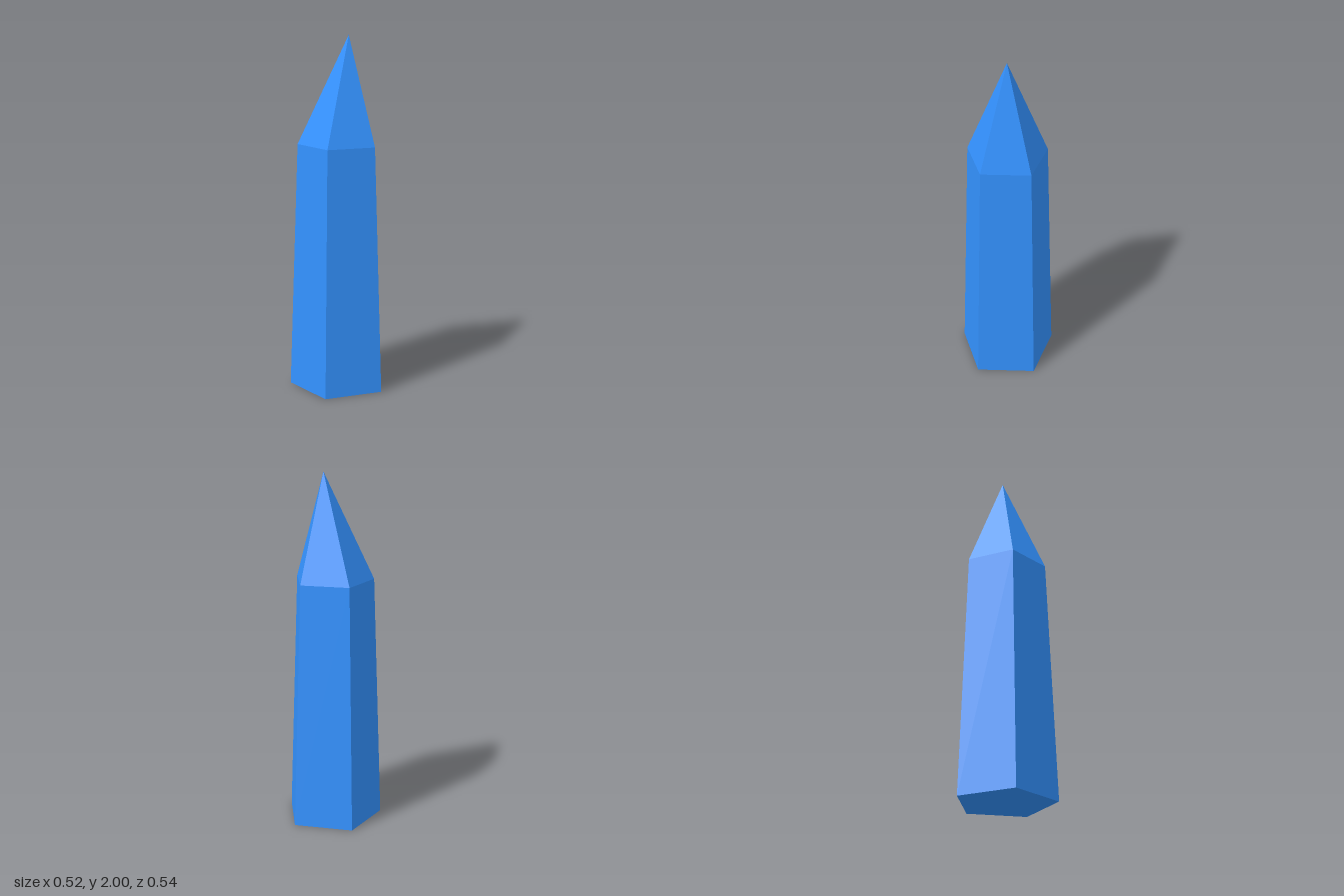
import * as THREE from 'three';

const SIDES = 5;
const CENTRE_X = -0.028;
const BASE_R = 0.285, SHOULDER_R = 0.2335;
const SHOULDER_Y = 1.4, TOP_Y = 2;
const APEX = { x: 0.014, z: 0.028 };

export function createModel() {
  const group = new THREE.Group();
  group.name = 'crystal';
  const material = new THREE.MeshStandardMaterial({ color: 0x3392ff, flatShading: true });

  const add = (name, geometry) => {
    const mesh = new THREE.Mesh(geometry, material);
    mesh.name = name;
    group.add(mesh);
  };

  // Tapered five-sided shaft, with one corner pointing to +x
  const shaft = new THREE.CylinderGeometry(
    SHOULDER_R, BASE_R, SHOULDER_Y, SIDES, 1, true, Math.PI / 2);
  shaft.translate(CENTRE_X, SHOULDER_Y / 2, 0);
  add('shaft', shaft);

  // Pointed tip, its apex pushed off centre
  const tipHeight = TOP_Y - SHOULDER_Y;
  const tip = new THREE.ConeGeometry(SHOULDER_R, tipHeight, SIDES, 1, true, Math.PI / 2);
  tip.translate(CENTRE_X, SHOULDER_Y + tipHeight / 2, 0);
  const pos = tip.attributes.position;
  for (let i = 0; i < pos.count; i++) {
    if (pos.getY(i) > TOP_Y - 0.01) pos.setXYZ(i, APEX.x, TOP_Y, APEX.z);
  }
  tip.computeVertexNormals();
  add('tip', tip);

  // Flat underside
  const base = new THREE.CircleGeometry(BASE_R, SIDES);
  base.rotateX(Math.PI / 2).translate(CENTRE_X, 0, 0);
  add('base', base);

  return group;
}
